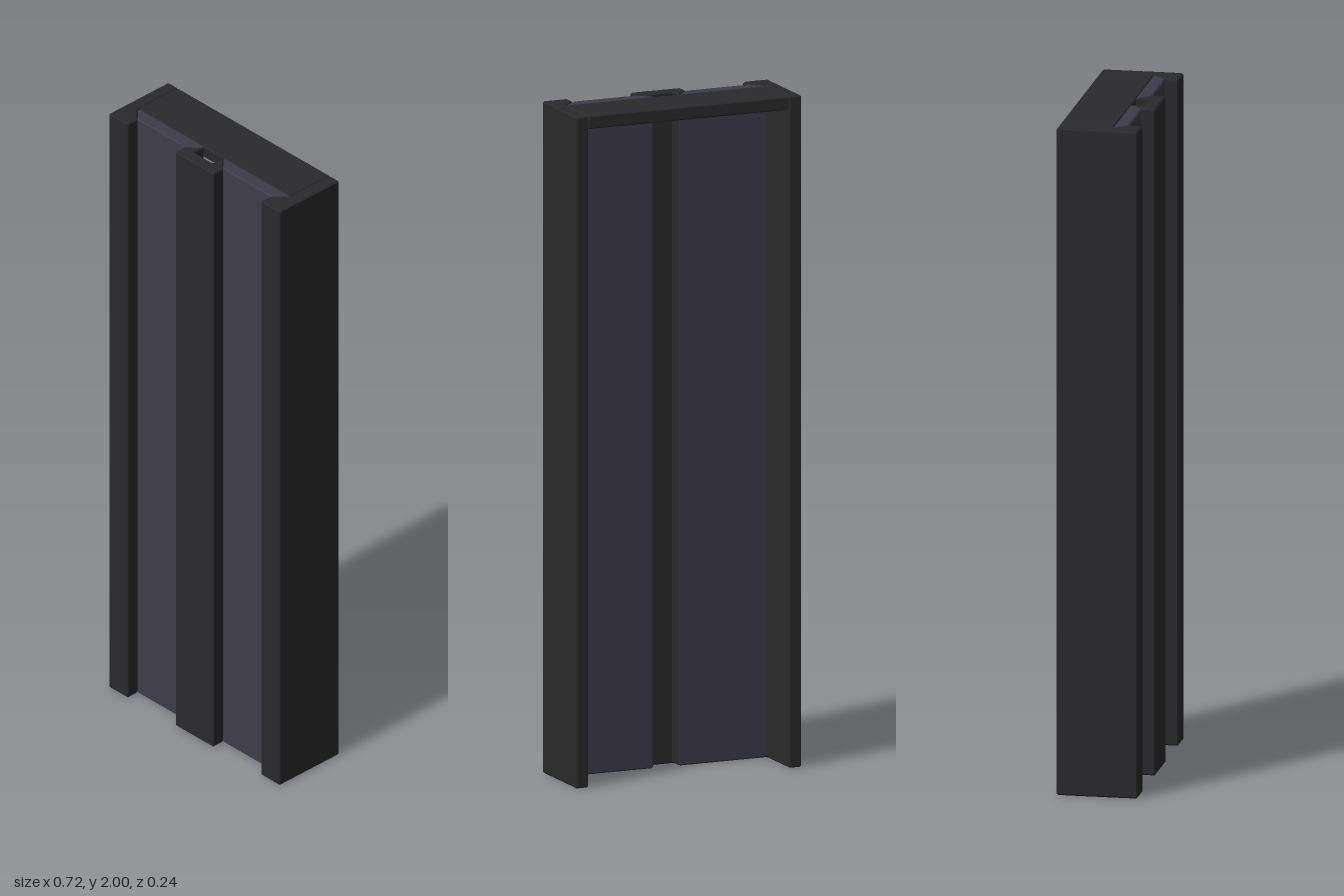
import * as THREE from 'three';

const CHAMFER = 0.004;

// Closed outline with every corner cut by a small chamfer; points are [x, z] as seen from above
function chamferedShape(points) {
  const pts = points.map(([x, z]) => new THREE.Vector2(x, -z));
  const outline = [];
  pts.forEach((p, i) => {
    const prev = pts[(i + pts.length - 1) % pts.length];
    const next = pts[(i + 1) % pts.length];
    for (const q of [prev, next]) {
      outline.push(p.clone().add(q.clone().sub(p).setLength(CHAMFER)));
    }
  });
  return new THREE.Shape(outline);
}

// Upright bar of the given cross-section between two heights
function bar(name, points, y0, y1, material) {
  const geometry = new THREE.ExtrudeGeometry(chamferedShape(points), {
    depth: y1 - y0 - 2 * CHAMFER,
    bevelEnabled: true,
    bevelThickness: CHAMFER,
    bevelSize: CHAMFER,
    bevelOffset: -CHAMFER,
    bevelSegments: 1,
  });
  geometry.rotateX(-Math.PI / 2);
  geometry.translate(0, y0 + CHAMFER, 0);
  const mesh = new THREE.Mesh(geometry, material);
  mesh.name = name;
  return mesh;
}

export function createModel() {
  const group = new THREE.Group();
  group.name = 'wallPanel';
  const dark = new THREE.MeshStandardMaterial({ color: 0x2a2a2c });
  const slate = new THREE.MeshStandardMaterial({ color: 0x3e3c4b });

  // Side walls with a front lip, and the recessed panels with mitred edges
  for (const [side, s] of [['left', 1], ['right', -1]]) {
    const mirror = (points) => points.map(([x, z]) => [x * s, z]);
    group.add(bar(side + 'Wall', mirror([
      [0.36, -0.12], [0.36, 0.12], [0.28, 0.12], [0.28, 0.08], [0.32, 0.04], [0.32, -0.12],
    ]), 0, 2, dark));
    group.add(bar(side + 'Panel', mirror([
      [0.04, 0.04], [0.32, 0.04], [0.28, 0.08], [0.08, 0.08],
    ]), 0, 2, slate));
  }

  // Centre strip, hollow at the back
  group.add(bar('centreStrip', [
    [-0.08, 0.12], [0.08, 0.12], [0.08, 0.08], [0.04, 0.04],
    [0.04, 0.08], [-0.04, 0.08], [-0.04, 0.04], [-0.08, 0.08],
  ], 0, 2, dark));

  // Board closing the top behind the panels
  group.add(bar('topBoard', [
    [-0.32, -0.12], [0.32, -0.12], [0.32, 0.04], [-0.32, 0.04],
  ], 1.96, 2, dark));

  return group;
}
